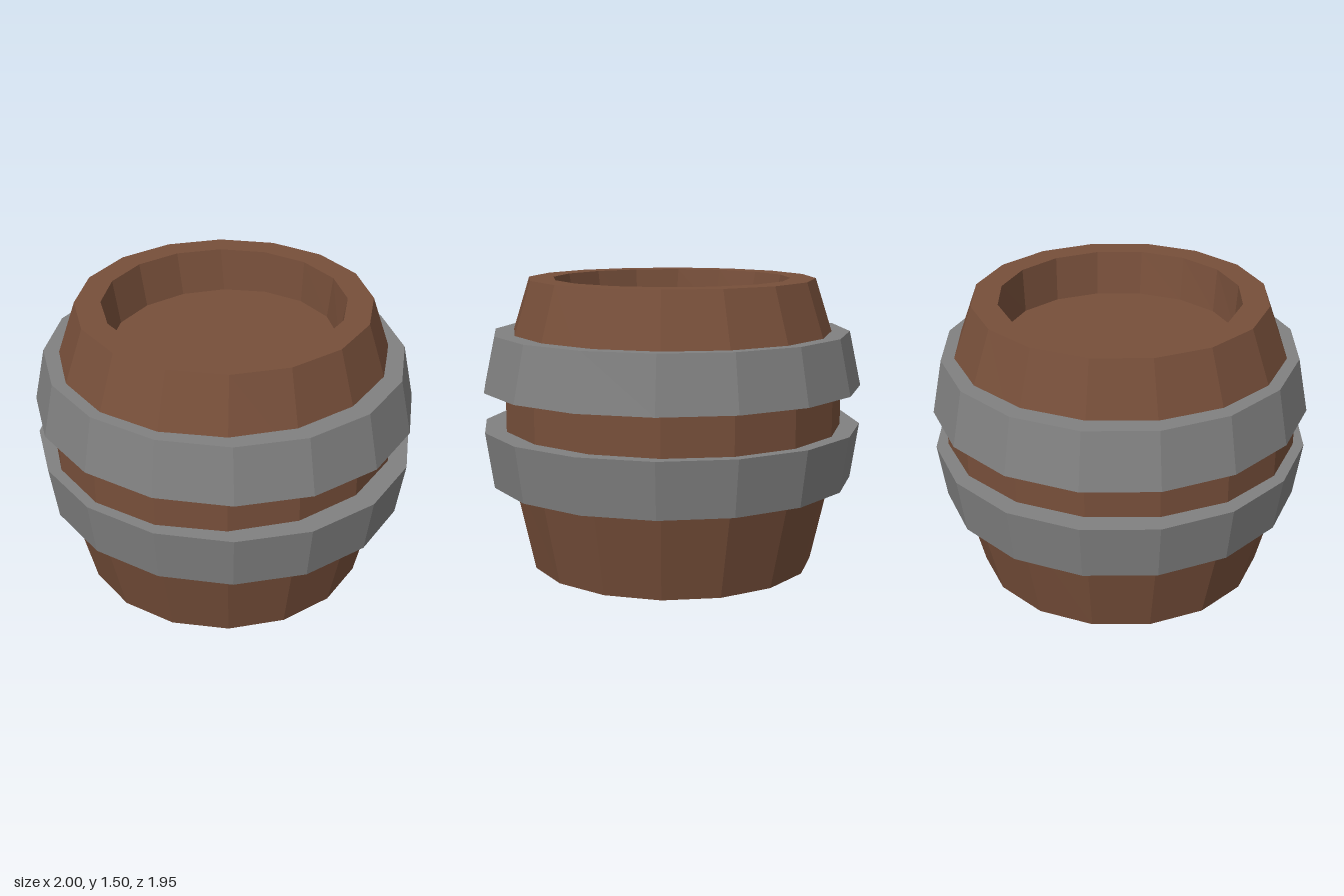
import * as THREE from 'three';

const SIDES = 16;

// Turned shape with oval rings; each profile entry is [x radius, z radius, y], bottom to top.
function ovalLathe(profile) {
  const points = profile.map(([rx, , y]) => new THREE.Vector2(rx, y));
  const lathe = new THREE.LatheGeometry(points, SIDES);
  const pos = lathe.attributes.position;
  for (let i = 0; i < pos.count; i++) {
    const [rx, rz] = profile[i % profile.length];
    if (rx > 0) pos.setZ(i, pos.getZ(i) * rz / rx);
  }
  const geometry = lathe.toNonIndexed();
  geometry.computeVertexNormals();
  return geometry;
}

function addPart(group, name, profile, material) {
  const mesh = new THREE.Mesh(ovalLathe(profile), material);
  mesh.name = name;
  group.add(mesh);
}

export function createModel() {
  const group = new THREE.Group();
  group.name = 'barrel';
  const wood = new THREE.MeshStandardMaterial({ color: 0x774f3a, flatShading: true });
  const iron = new THREE.MeshStandardMaterial({ color: 0x808080, flatShading: true });

  // Wooden body with a recessed lid at each end
  addPart(group, 'body', [
    [0, 0, 0.22],
    [0.57, 0.605, 0.22],
    [0.62, 0.62, 0],
    [0.75, 0.755, 0],
    [0.888, 0.917, 0.64],
    [0.888, 0.917, 1.06],
    [0.75, 0.755, 1.505],
    [0.62, 0.62, 1.505],
    [0.57, 0.605, 1.28],
    [0, 0, 1.28],
  ], wood);

  // Metal hoops, widest toward the middle of the barrel
  addPart(group, 'lowerHoop', [
    [0.82, 0.84, 0.45],
    [0.957, 0.932, 0.45],
    [1, 0.973, 0.74],
    [0.86, 0.88, 0.74],
  ], iron);
  addPart(group, 'upperHoop', [
    [0.86, 0.88, 0.945],
    [1, 0.973, 0.945],
    [0.937, 0.918, 1.23],
    [0.81, 0.83, 1.23],
  ], iron);

  return group;
}
